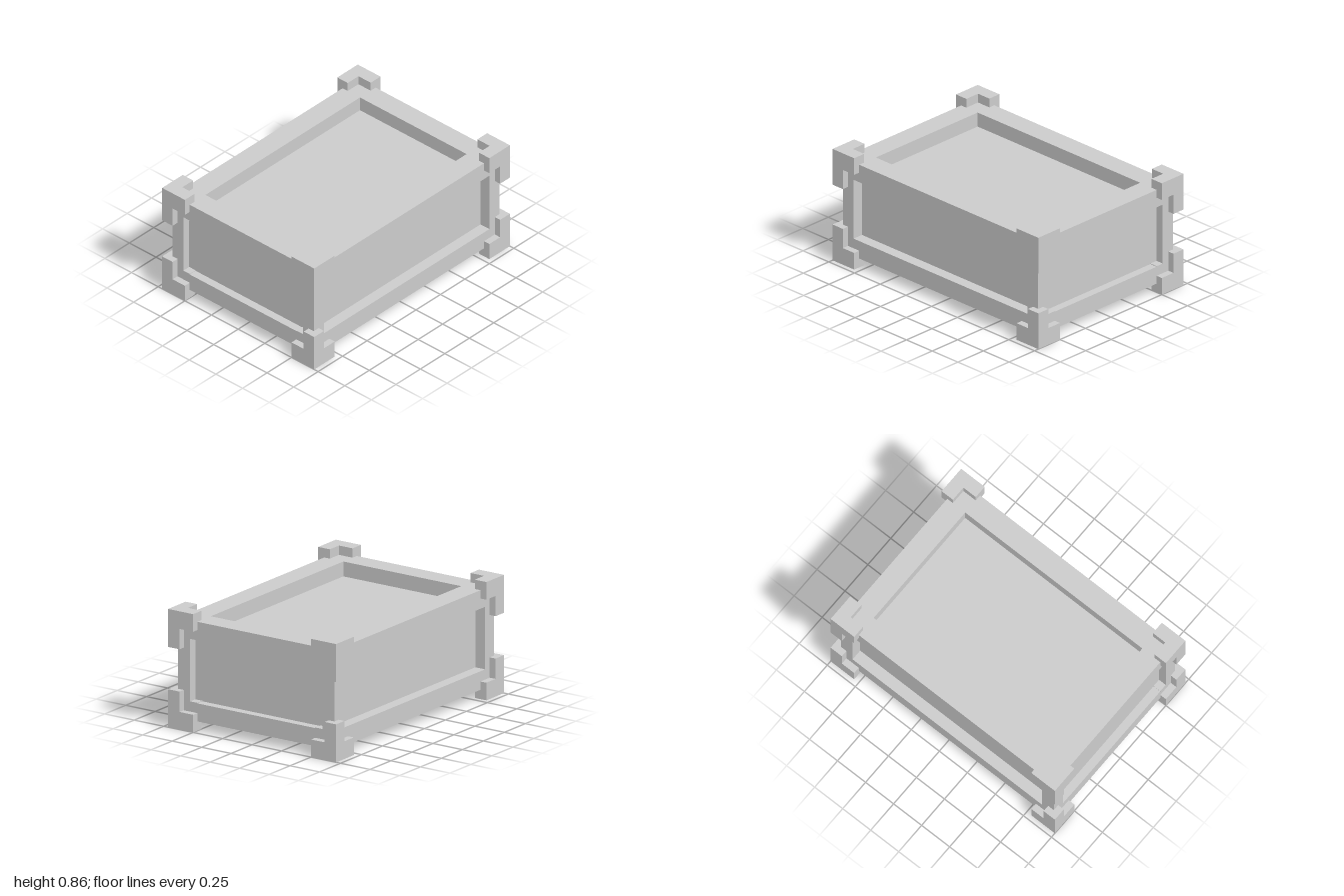
import * as THREE from 'three';

const material = new THREE.MeshStandardMaterial({ color: 0xcccccc, flatShading: true });

// Box given by its [min, max] extent on each axis
function block(name, x, y, z) {
  const geometry = new THREE.BoxGeometry(x[1] - x[0], y[1] - y[0], z[1] - z[0]);
  const mesh = new THREE.Mesh(geometry, material);
  mesh.name = name;
  mesh.position.set((x[0] + x[1]) / 2, (y[0] + y[1]) / 2, (z[0] + z[1]) / 2);
  return mesh;
}

// Extent [a, b] mirrored about zero when s is -1
const side = (s, a, b) => (s > 0 ? [a, b] : [-b, -a]);

export function createModel() {
  const model = new THREE.Group();
  model.name = 'crate';
  const mid = 0.4275; // half of the total height
  const level = (s, a, b) => side(s, a, b).map((v) => v + mid);

  // Recessed panels: one core box seen through the frame openings
  model.add(block('recessedPanels', [-0.89, 0.89], [0.175, 0.68], [-0.58, 0.58]));

  // Frame: long and short rails on top and bottom, corner posts between
  const frame = new THREE.Group();
  frame.name = 'frame';
  for (const sy of [1, -1]) {
    for (const s of [1, -1]) {
      frame.add(block('longRail', [-0.95, 0.95], level(sy, 0.226, 0.36), side(s, 0.5, 0.663)));
      frame.add(block('shortRail', side(s, 0.79, 0.95), level(sy, 0.23, 0.36), [-0.5, 0.5]));
    }
  }
  for (const sx of [1, -1]) {
    for (const sz of [1, -1]) {
      frame.add(block('cornerPost', side(sx, 0.845, 0.95), [0.2, 0.655], side(sz, 0.56, 0.663)));
    }
  }
  model.add(frame);

  // Three-armed brackets wrapping all eight corners
  for (const sx of [1, -1]) {
    for (const sy of [1, -1]) {
      for (const sz of [1, -1]) {
        const bracket = new THREE.Group();
        bracket.name = 'cornerBracket';
        const x = side(sx, 0.9, 1);
        const y = level(sy, 0.3, 0.4275);
        const z = side(sz, 0.615, 0.713);
        bracket.add(
          block('uprightArm', x, level(sy, 0.153, 0.4275), z),
          block('wideArm', side(sx, 0.79, 0.9), y, z),
          block('deepArm', x, y, side(sz, 0.5, 0.615)),
        );
        model.add(bracket);
      }
    }
  }
  return model;
}
